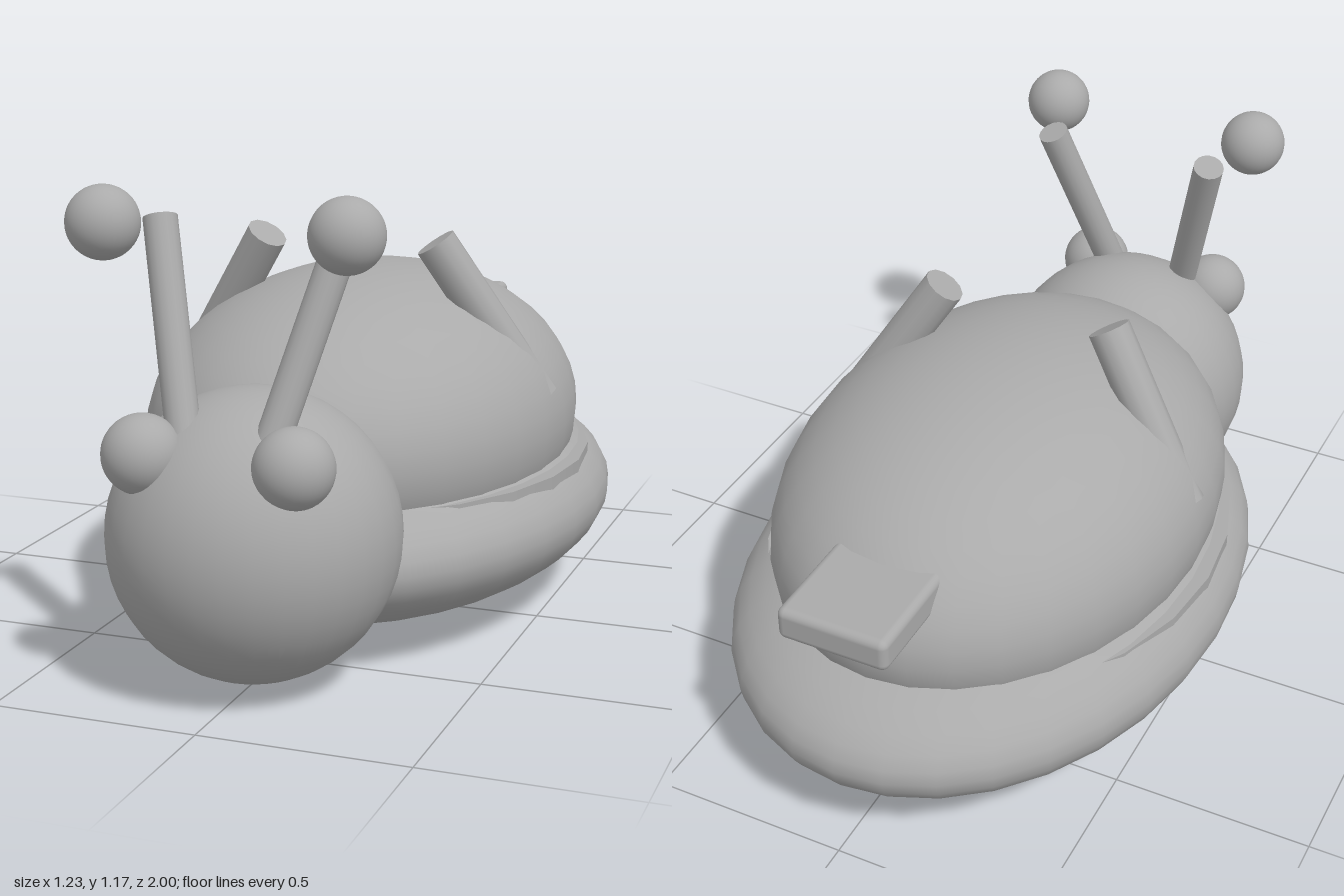
import * as THREE from 'three';
import { RoundedBoxGeometry } from 'three/addons/geometries/RoundedBoxGeometry.js';

export function createModel() {
  const model = new THREE.Group();
  model.name = 'snail';
  const grey = new THREE.MeshStandardMaterial({ color: 0xaaaaaa });
  grey.name = 'plain grey';

  const add = (name, geometry, x, y, z) => {
    const mesh = new THREE.Mesh(geometry, grey);
    mesh.name = name;
    mesh.position.set(x, y, z);
    model.add(mesh);
    return mesh;
  };
  const ellipsoid = (name, x, y, z, rx, ry, rz) =>
    add(name, new THREE.SphereGeometry(1, 32, 24).scale(rx, ry, rz), x, y, z);

  // Straight rod between two points
  const rod = (name, from, to, radius, sides) => {
    const a = new THREE.Vector3(...from), b = new THREE.Vector3(...to);
    const direction = b.clone().sub(a);
    const mesh = add(name, new THREE.CylinderGeometry(radius, radius, direction.length(), sides), 0, 0, 0);
    mesh.position.copy(a).add(b).multiplyScalar(0.5);
    mesh.quaternion.setFromUnitVectors(new THREE.Vector3(0, 1, 0), direction.normalize());
  };

  // Body, shell and head
  ellipsoid('body', 0, 0.262, -0.143, 0.615, 0.26, 0.857);
  ellipsoid('shell', 0, 0.48, -0.112, 0.535, 0.388, 0.729);
  ellipsoid('head', 0, 0.36, 0.655, 0.343, 0.343, 0.345);

  // Rim just showing where the shell meets the body
  add('shellRim', new THREE.CylinderGeometry(1, 1, 0.05, 24).scale(0.57, 1, 0.69), 0, 0.365, -0.12);

  // Tail plate
  add('tailPlate', new RoundedBoxGeometry(0.28, 0.085, 0.36, 3, 0.02), 0, 0.64, -0.792);

  // Paired parts
  for (const [side, s] of [['left', 1], ['right', -1]]) {
    rod(side + 'ShellHorn', [s * 0.475, 0.555, -0.07], [s * 0.225, 0.95, 0.015], 0.053, 12);
    rod(side + 'Antenna', [s * 0.08, 0.52, 0.835], [s * 0.225, 1.08, 0.648], 0.04, 16);
    ellipsoid(side + 'AntennaBall', s * 0.285, 1.087, 0.813, 0.084, 0.084, 0.084);
    ellipsoid(side + 'Eye', s * 0.18, 0.583, 0.86, 0.092, 0.092, 0.092);
  }
  return model;
}
